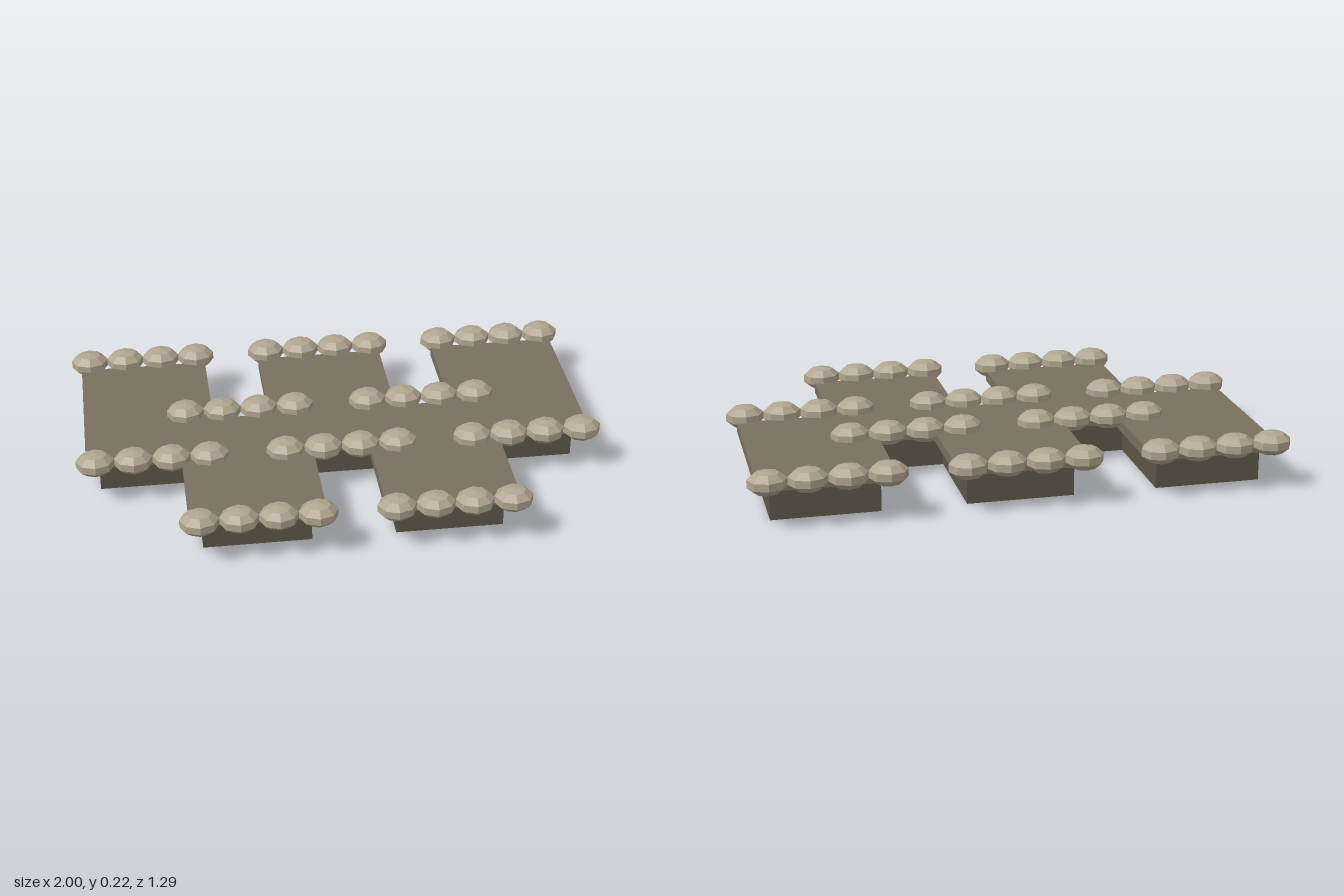
import * as THREE from 'three';

const material = (color) => new THREE.MeshStandardMaterial({ color, flatShading: true });

export function createModel() {
  const model = new THREE.Group();
  const baseMat = material(0x5c5548);
  const plateMat = material(0x7a7060);
  const stoneMat = material(0xb0a58f);

  // Low-poly flattened edge stone, shared by all rows
  const stoneGeo = new THREE.SphereGeometry(1, 8, 5);
  stoneGeo.scale(0.075, 0.046, 0.0647);

  const addMesh = (parent, name, geometry, mat, x, y, z) => {
    const mesh = new THREE.Mesh(geometry, mat);
    mesh.name = name;
    mesh.position.set(x, y, z);
    parent.add(mesh);
  };

  // One paving block: recessed base, overhanging plate, a stone row at each end
  const addBlock = (name, x, z) => {
    const block = new THREE.Group();
    block.name = name;
    block.position.set(x, 0, z);
    addMesh(block, 'base', new THREE.BoxGeometry(0.4, 0.125, 0.567), baseMat, 0, 0.0625, 0);
    addMesh(block, 'plate', new THREE.BoxGeometry(0.496, 0.04, 0.66), plateMat, 0, 0.145, 0);
    for (const side of [-1, 1]) {
      for (let i = 0; i < 4; i++) {
        addMesh(block, 'edgeStone', stoneGeo, stoneMat, (i - 1.5) * 0.1425, 0.175, side * 0.368);
      }
    }
    model.add(block);
  };

  // Three blocks behind, two staggered in front
  for (const x of [-0.713, 0, 0.713]) addBlock('backBlock', x, -0.214);
  for (const x of [-0.356, 0.356]) addBlock('frontBlock', x, 0.214);

  return model;
}
